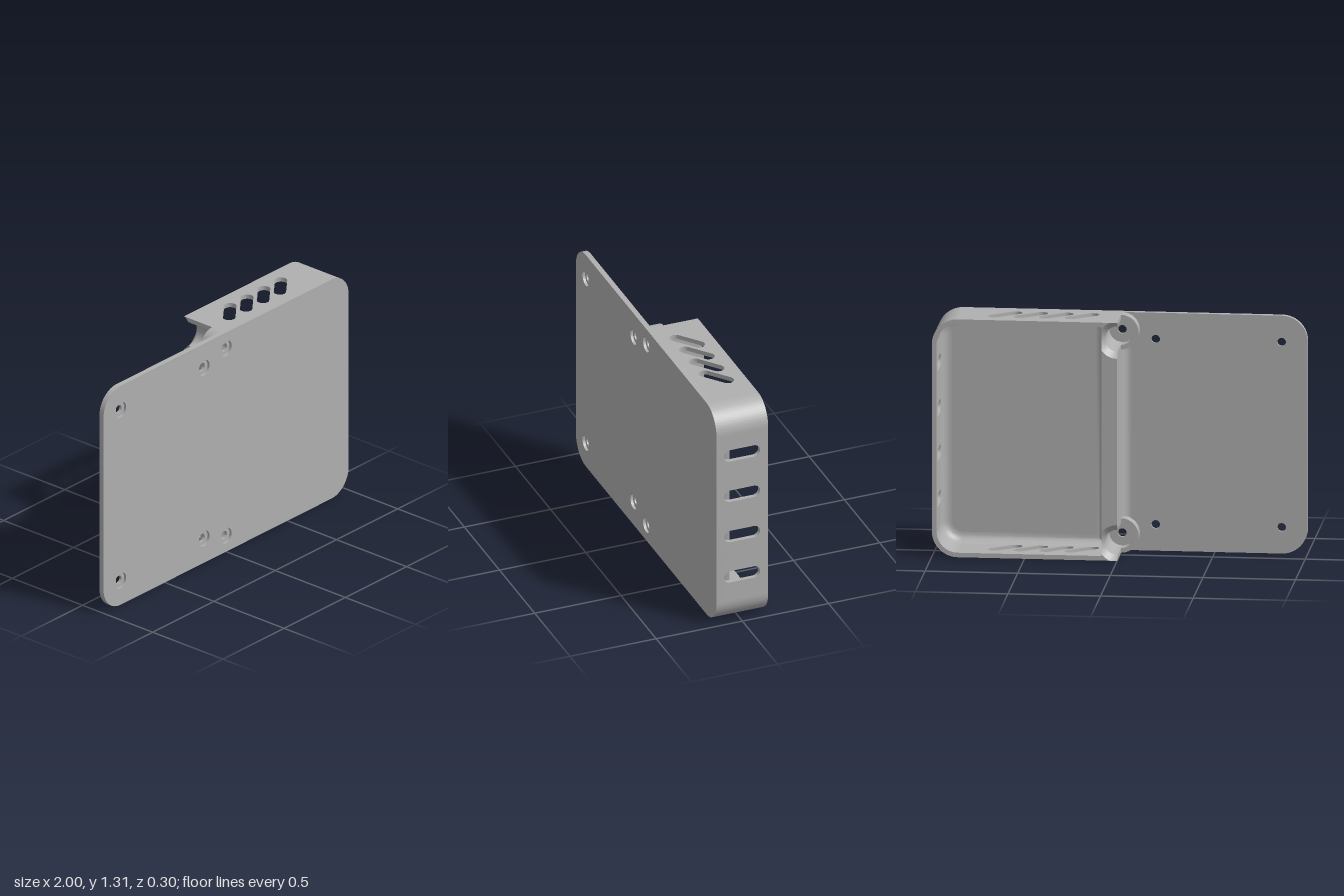
import * as THREE from 'three';
import { toCreasedNormals } from 'three/addons/utils/BufferGeometryUtils.js';

const H = 0.655;            // half height
const BACK = -0.15, FLOOR = 0.12, FRONT = 0.15;
const R = 0.14, T = 0.025;  // outer corner radius, thin wall thickness
const DIV = 0.085;          // thickness of the divider wall
const BOSS_Y = 0.56;        // screw channel height above and below the middle

export function createModel() {
  const model = new THREE.Group();
  const body = new THREE.Group();
  body.position.y = H;
  model.add(body);
  const grey = new THREE.MeshStandardMaterial({ color: 0xb0b0b0, side: THREE.DoubleSide });
  grey.name = 'grey';

  const add = (name, geometry) => {
    const mesh = new THREE.Mesh(toCreasedNormals(geometry, 0.5), grey);
    mesh.name = name;
    body.add(mesh);
  };
  const extrude = (shape, depth) =>
    new THREE.ExtrudeGeometry(shape, { depth, bevelEnabled: false, curveSegments: 16 });
  const rect = (x0, y0, x1, y1) => new THREE.Shape([
    new THREE.Vector2(x0, y0), new THREE.Vector2(x1, y0),
    new THREE.Vector2(x1, y1), new THREE.Vector2(x0, y1)]);
  // Rounded slot between two end centres
  const slot = (ax, ay, bx, by, r) => {
    const a = Math.atan2(by - ay, bx - ax), p = new THREE.Path();
    p.absarc(bx, by, r, a - Math.PI / 2, a + Math.PI / 2);
    p.absarc(ax, ay, r, a + Math.PI / 2, a + Math.PI * 1.5);
    p.closePath();
    return p;
  };

  // Mounting plate: two layers, the front one with wider screw-head recesses
  const plateLayer = (name, holeRadius, z0, z1) => {
    const s = new THREE.Shape();
    s.absarc(1 - R, H - R, R, 0, Math.PI / 2);
    s.absarc(R - 1, H - R, R, Math.PI / 2, Math.PI);
    s.absarc(R - 1, R - H, R, Math.PI, Math.PI * 1.5);
    s.absarc(1 - R, R - H, R, Math.PI * 1.5, Math.PI * 2);
    s.closePath();
    for (const [x, y] of [[-0.86, 0.51], [-0.18, 0.51], [0, BOSS_Y]]) {
      for (const side of [1, -1]) {
        s.holes.push(new THREE.Path().absarc(x, y * side, holeRadius, 0, Math.PI * 2));
      }
    }
    add(name, extrude(s, z1 - z0).translate(0, 0, z0));
  };
  plateLayer('plateBack', 0.023, FLOOR, 0.135);
  plateLayer('plateFront', 0.045, 0.135, FRONT);

  // Top and bottom walls with slanted vents
  for (const [name, y] of [['topWall', H], ['bottomWall', T - H]]) {
    const s = rect(DIV, BACK, 1 - R, FLOOR);
    for (let i = 0; i < 4; i++) {
      const x = 0.15 + i * 0.138;
      s.holes.push(slot(x, 0.04, x + 0.11, -0.048, 0.034));
    }
    add(name, extrude(s, T).rotateX(Math.PI / 2).translate(0, y, 0));
  }

  // Side wall with straight vents
  const side = rect(-FLOOR, R - H, -BACK, H - R);
  for (let i = 0; i < 4; i++) {
    const y = 0.29 + i * 0.25 - H;
    side.holes.push(slot(-0.07, y, 0.067, y, 0.035));
  }
  add('sideWall', extrude(side, T).rotateY(Math.PI / 2).translate(1 - T, 0, 0));

  // Rounded wall corners
  for (const s of [1, -1]) {
    const a0 = s > 0 ? 0 : -Math.PI / 2, c = new THREE.Shape();
    c.absarc(1 - R, s * (H - R), R, a0, a0 + Math.PI / 2, false);
    c.absarc(1 - R, s * (H - R), R - T, a0 + Math.PI / 2, a0, true);
    c.closePath();
    add('wallCorner', extrude(c, FLOOR - BACK).translate(0, 0, BACK));
  }

  // Divider wall, hollowed by two screw channels that flare at the rim
  const zs = [BACK, -0.144, -0.138, -0.133, -0.125, -0.118, FLOOR];
  const nx = 20, arcSteps = 16;
  const divider = (name, low, high) => {
    const g = new THREE.BoxGeometry(1, 1, 1, nx, 1, zs.length - 1);
    const p = g.attributes.position;
    for (let i = 0; i < p.count; i++) {
      const u = Math.round((p.getX(i) + 0.5) * nx);
      const z = zs[Math.round((p.getZ(i) + 0.5) * (zs.length - 1))];
      const r = 0.07 + Math.max(0, -0.118 - z);
      const reach = Math.min(r, DIV);
      const x = u <= arcSteps
        ? r * Math.sin(u / arcSteps * Math.asin(reach / r))
        : reach + (DIV - reach) * (u - arcSteps) / (nx - arcSteps);
      const half = Math.sqrt(Math.max(0, r * r - x * x));
      p.setXYZ(i, x, p.getY(i) > 0 ? high(half) : low(half), z);
    }
    add(name, g);
  };
  const outer = (h) => Math.min(BOSS_Y + h, H);
  divider('dividerWall', (h) => h - BOSS_Y, (h) => BOSS_Y - h);
  divider('dividerTop', outer, () => H);
  divider('dividerBottom', () => -H, (h) => -outer(h));

  // Half-ring screw bosses outside the divider
  for (const s of [1, -1]) {
    const b = new THREE.Shape();
    b.absarc(0, s * BOSS_Y, 0.095, Math.PI / 2, Math.PI * 1.5, false);
    b.absarc(0, s * BOSS_Y, 0.07, Math.PI * 1.5, Math.PI / 2, true);
    b.closePath();
    add('screwBoss', extrude(b, FLOOR - 0.05).translate(0, 0, 0.05));
  }

  // Concave fillet between the divider and the plate
  const f = 0.05, fillet = new THREE.Shape();
  fillet.moveTo(0, FLOOR);
  fillet.lineTo(-f, FLOOR);
  fillet.absarc(-f, FLOOR - f, f, Math.PI / 2, 0, true);
  fillet.closePath();
  add('dividerFillet', extrude(fillet, 0.96).rotateX(Math.PI / 2).translate(0, 0.48, 0));

  // Concave fillet around the floor of the tray, built from inset loops
  const fi = 0.055, rings = 8, arc = 12;
  const loop = (d) => {
    const pts = [[DIV + d, T - H + d]], r = R - T - d;
    for (const s of [-1, 1]) {
      for (let i = 0; i <= arc; i++) {
        const a = (s < 0 ? -Math.PI / 2 : 0) + i / arc * Math.PI / 2;
        pts.push([1 - R + r * Math.cos(a), s * (H - R) + r * Math.sin(a)]);
      }
    }
    pts.push([DIV + d, H - T - d]);
    return pts;
  };
  const pos = [], idx = [], n = loop(0).length;
  for (let k = 0; k <= rings; k++) {
    const t = k / rings * Math.PI / 2;
    const z = FLOOR - fi * (1 - Math.sin(t));
    for (const [x, y] of loop(fi * (1 - Math.cos(t)))) pos.push(x, y, z);
  }
  for (let k = 0; k < rings; k++) {
    for (let i = 0; i < n; i++) {
      const a = k * n + i, b = k * n + (i + 1) % n;
      idx.push(a, a + n, b, b, a + n, b + n);
    }
  }
  const tray = new THREE.BufferGeometry();
  tray.setAttribute('position', new THREE.Float32BufferAttribute(pos, 3));
  tray.setIndex(idx);
  add('trayFillet', tray);

  return model;
}
